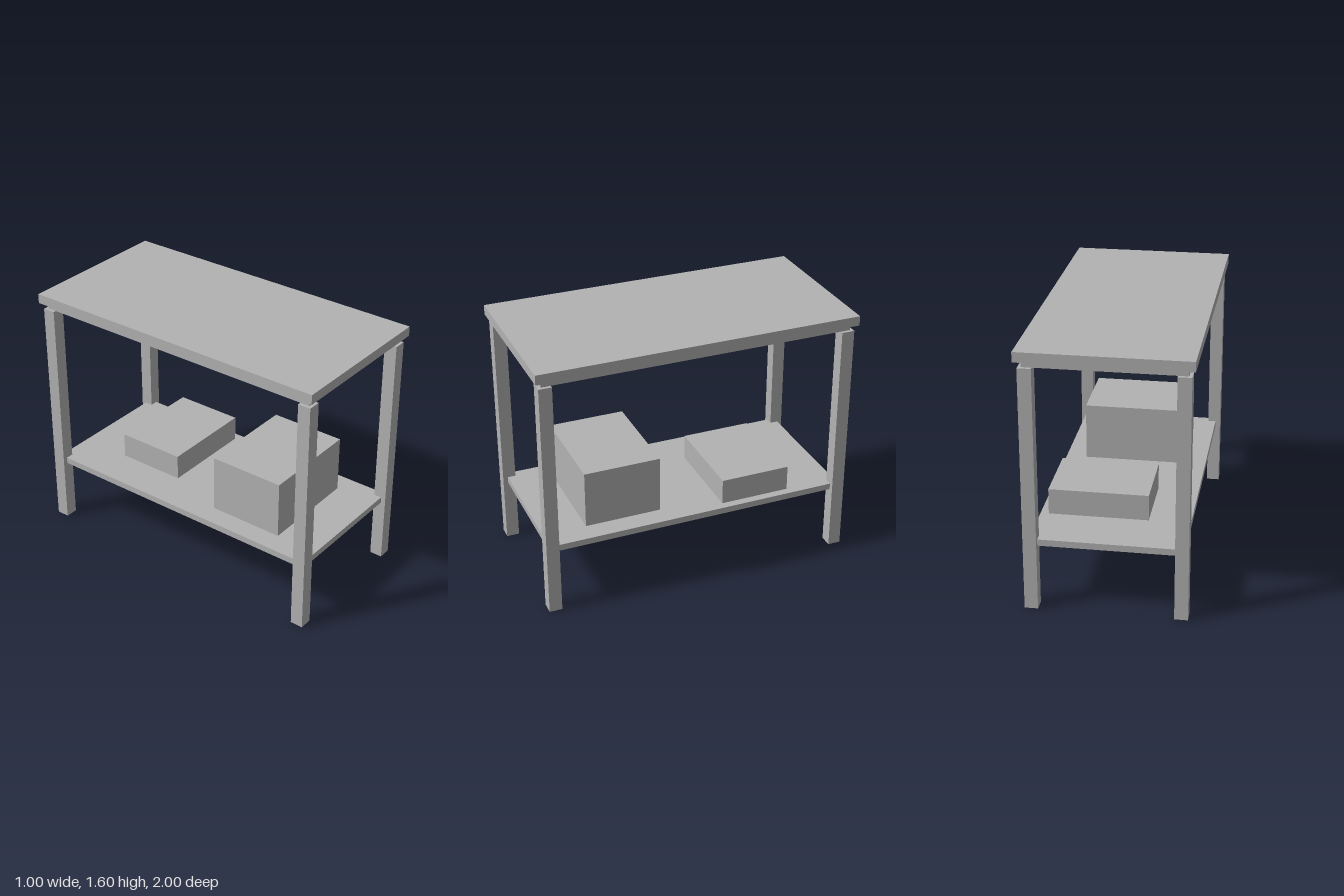
import * as THREE from 'three';

export function createModel() {
  const table = new THREE.Group();
  table.name = 'workTable';
  const grey = new THREE.MeshStandardMaterial({ color: 0xb2b2b2 });
  grey.name = 'plain grey';

  // Box given by size, centre in x and z, and the height of its underside
  const addBox = (name, [w, h, d], [x, bottom, z]) => {
    const mesh = new THREE.Mesh(new THREE.BoxGeometry(w, h, d), grey);
    mesh.name = name;
    mesh.position.set(x, bottom + h / 2, z);
    table.add(mesh);
  };

  // Top slab on a thinner inset panel
  addBox('tableTop', [1, 0.06, 2], [0, 1.54, 0]);
  addBox('underTopPanel', [0.92, 0.04, 1.92], [0, 1.5, 0]);

  // Four square legs
  for (const [side, sx] of [['Left', 1], ['Right', -1]]) {
    for (const [end, sz] of [['front', 1], ['back', -1]]) {
      addBox(`${end}${side}Leg`, [0.08, 1.5, 0.08], [sx * 0.44, 0, sz * 0.94]);
    }
  }

  // Lower shelf, let into the legs
  addBox('lowerShelf', [0.9, 0.04, 1.9], [0, 0.4, 0]);

  // Boxes stored on the shelf
  addBox('tallStorageBox', [0.64, 0.36, 0.48], [0, 0.44, 0.44]);
  addBox('lowStorageBox', [0.6, 0.16, 0.44], [0.1, 0.44, -0.4]);

  return table;
}
